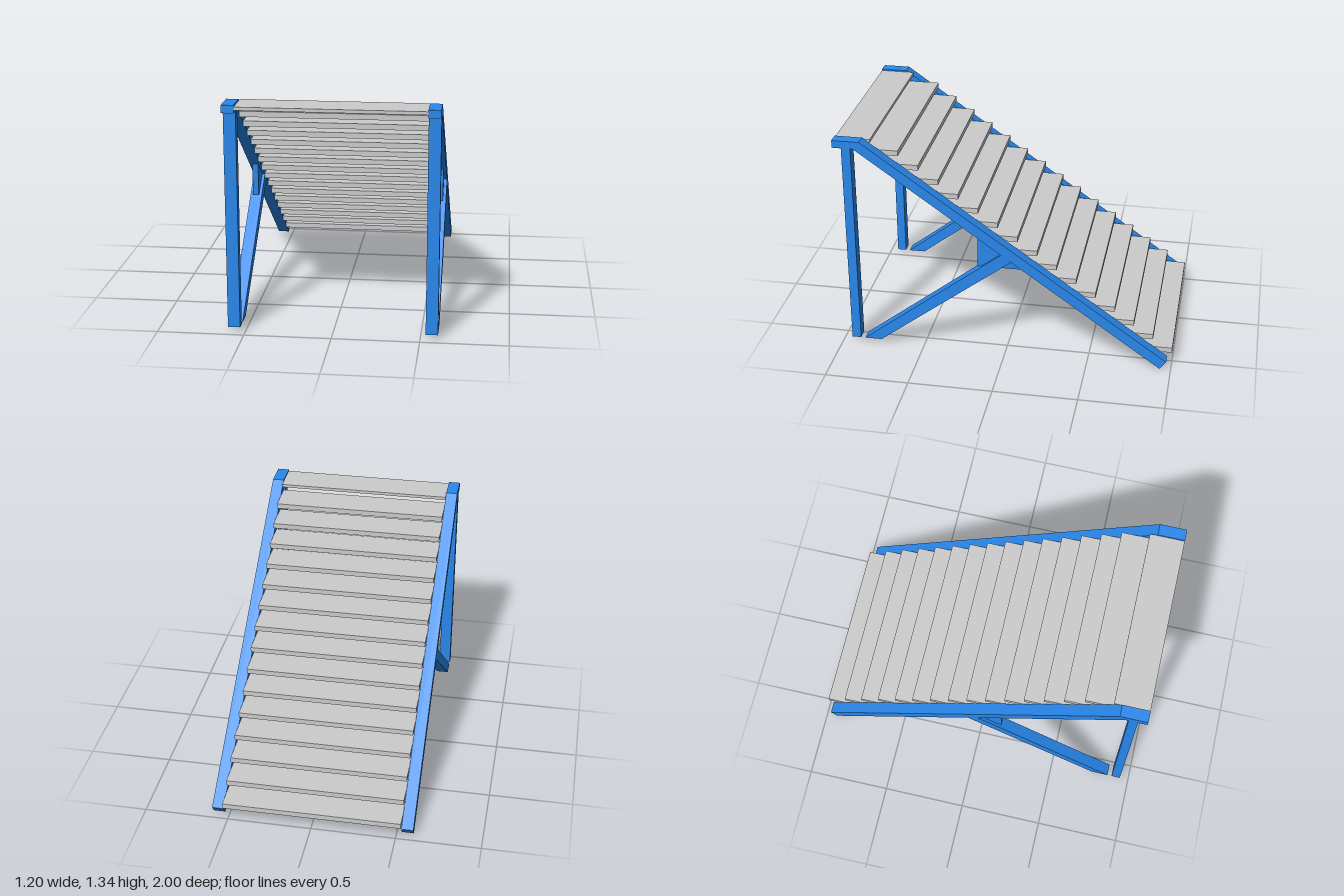
import * as THREE from 'three';

const blue = new THREE.MeshStandardMaterial({ color: 0x2888ec });
const grey = new THREE.MeshStandardMaterial({ color: 0xcccccc });

// Extrudes a side outline given as [z, y] pairs, centred across x.
function sidePlate(name, outline, width) {
  const shape = new THREE.Shape(outline.map(([z, y]) => new THREE.Vector2(-z, y)));
  const geometry = new THREE.ExtrudeGeometry(shape, { depth: width, bevelEnabled: false });
  geometry.translate(0, 0, -width / 2).rotateY(Math.PI / 2);
  const mesh = new THREE.Mesh(geometry, blue);
  mesh.name = name;
  return mesh;
}

// One side frame: sloped rail with level cap, post, brace and gusset.
function createFrame(name) {
  const frame = new THREE.Group();
  frame.name = name;
  const width = 0.07;
  frame.add(
    sidePlate('slopedRail', [[1, 1.335], [1, 1.29], [0.876, 1.29], [-0.935, 0], [-0.972, 0.05], [0.839, 1.335]], width),
    sidePlate('post', [[0.946, 0.025], [0.892, 0.025], [0.892, 1.29], [0.946, 1.29]], width),
    sidePlate('brace', [[0.865, 0.025], [0.763, 0.025], [-0.042, 0.636], [0.018, 0.679]], width),
    sidePlate('gusset', [[0.16, 0.585], [-0.115, 0.585], [0.16, 0.78]], 0.035)
  );
  return frame;
}

function createTread(name, y, z, thickness) {
  const mesh = new THREE.Mesh(new THREE.BoxGeometry(1.06, thickness, 0.207), grey);
  mesh.name = name;
  mesh.position.set(0, y, z);
  return mesh;
}

export function createModel() {
  const model = new THREE.Group();
  model.name = 'staircase';

  // Mirrored side frames
  for (const side of [-1, 1]) {
    const frame = createFrame(side > 0 ? 'leftFrame' : 'rightFrame');
    frame.position.x = side * 0.565;
    model.add(frame);
  }

  // Overlapping treads climbing towards the front
  for (let i = 0; i < 15; i++) {
    model.add(createTread(`tread${i + 1}`, 0.092 + i * 0.0827, -0.8965 + i * 0.1165, 0.032));
  }

  // Thinner landing board at the top
  model.add(createTread('landingBoard', 1.316, 0.8965, 0.019));
  return model;
}
